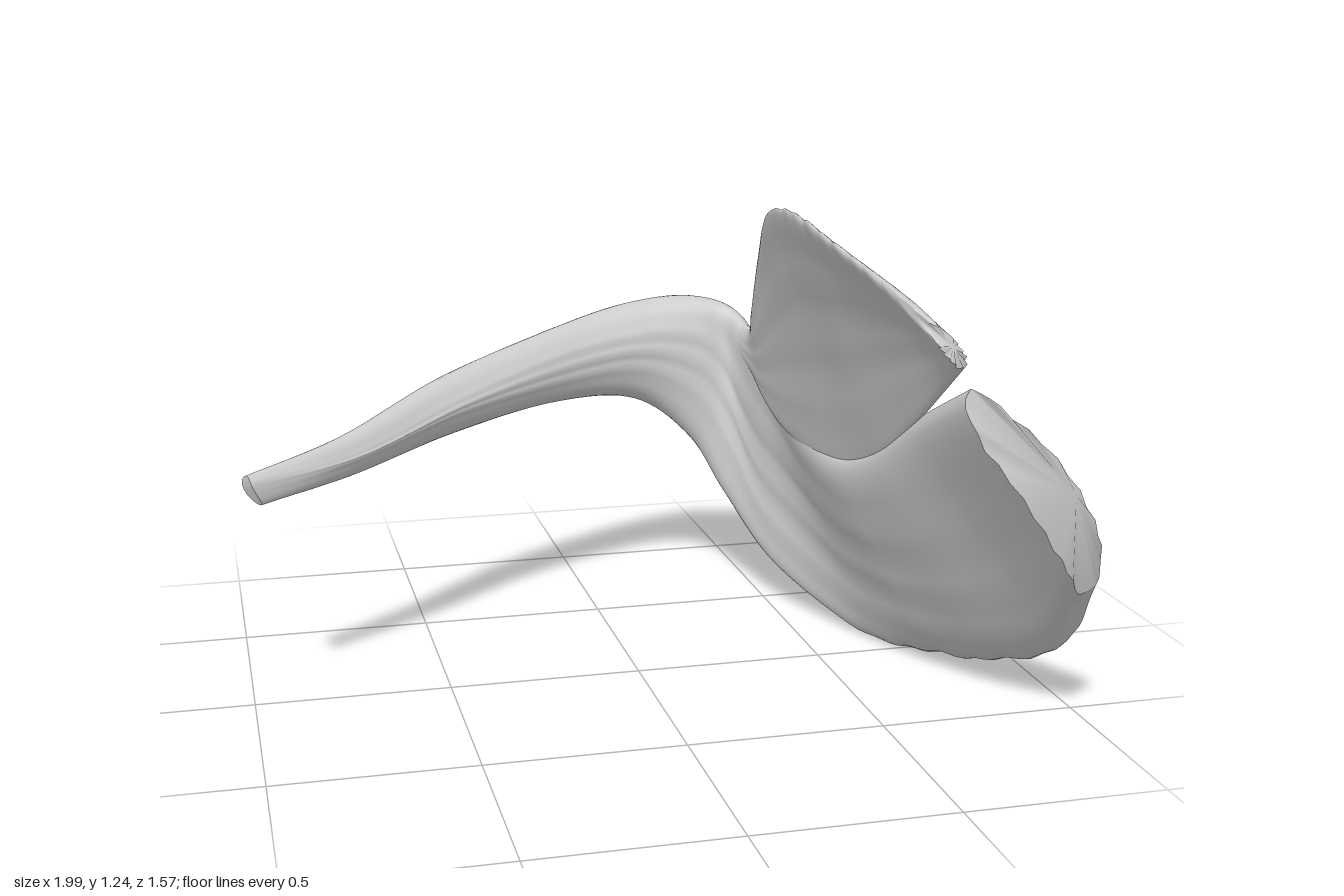
import * as THREE from 'three';

const material = new THREE.MeshStandardMaterial({ color: 0xcccccc, side: THREE.DoubleSide });

// Each station: lower edge xyz, middle xyz, upper edge xyz, thickness.
const STEM_TO_LOWER_LOBE = [
  [-0.96, 0.545, 0.02, -0.99, 0.59, 0.02, -0.99, 0.62, 0.02, 0.04],
  [-0.72, 0.565, -0.14, -0.73, 0.61, -0.16, -0.72, 0.66, -0.15, 0.09],
  [-0.42, 0.60, -0.38, -0.43, 0.67, -0.41, -0.42, 0.745, -0.40, 0.13],
  [-0.1, 0.62, -0.58, -0.1, 0.72, -0.61, -0.1, 0.82, -0.60, 0.15],
  [0.15, 0.60, -0.66, 0.15, 0.74, -0.70, 0.15, 0.87, -0.68, 0.18],
  [0.31, 0.48, -0.65, 0.35, 0.70, -0.70, 0.32, 0.885, -0.68, 0.17],
  [0.40, 0.32, -0.58, 0.46, 0.60, -0.63, 0.43, 0.85, -0.63, 0.13],
  [0.51, 0.14, -0.42, 0.53, 0.42, -0.46, 0.47, 0.73, -0.46, 0.10],
  [0.68, 0.02, -0.13, 0.635, 0.31, -0.20, 0.50, 0.62, -0.25, 0.07],
  [0.81, 0.04, 0.10, 0.72, 0.32, 0.07, 0.54, 0.59, 0.02, 0.05],
  [0.91, 0.09, 0.30, 0.785, 0.37, 0.30, 0.57, 0.65, 0.22, 0.045],
  [0.985, 0.19, 0.49, 0.85, 0.48, 0.53, 0.59, 0.78, 0.44, 0.04],
  [0.96, 0.40, 0.67, 0.845, 0.66, 0.77, 0.60, 0.91, 0.71, 0.03],
];
const UPPER_LOBE = [
  [0.45, 0.72, -0.61, 0.455, 0.77, -0.61, 0.45, 0.82, -0.61, 0.05],
  [0.46, 0.69, -0.50, 0.465, 0.75, -0.51, 0.46, 0.82, -0.52, 0.05],
  [0.47, 0.62, -0.38, 0.46, 0.76, -0.37, 0.42, 0.90, -0.39, 0.05],
  [0.49, 0.57, -0.24, 0.455, 0.83, -0.20, 0.38, 1.08, -0.21, 0.05],
  [0.535, 0.54, 0.00, 0.455, 0.90, 0.00, 0.335, 1.22, 0.00, 0.045],
  [0.57, 0.60, 0.20, 0.475, 0.95, 0.22, 0.335, 1.25, 0.20, 0.04],
  [0.585, 0.74, 0.40, 0.505, 1.0, 0.42, 0.36, 1.21, 0.42, 0.035],
  [0.60, 0.87, 0.56, 0.54, 1.02, 0.57, 0.43, 1.14, 0.56, 0.03],
  [0.60, 0.95, 0.67, 0.57, 1.0, 0.67, 0.52, 1.05, 0.64, 0.025],
];

// Lofts a closed section through the stations. rimV is the frayed edge,
// innerPad thickens the inner side of the blade into a blunt wall.
function loft(name, stations, { rimV, rimStart, foldSize, innerPad }) {
  const curve = (pick) => new THREE.CatmullRomCurve3(
    stations.map((s) => new THREE.Vector3(...pick(s))), false, 'catmullrom', 0.5);
  const low = curve((s) => s.slice(0, 3));
  const mid = curve((s) => s.slice(3, 6));
  const high = curve((s) => s.slice(6, 9));
  const thick = curve((s) => [s[9], 0, 0]);

  // Point on the middle sheet: a parabola across the three guide curves.
  const sheet = (u, v) => {
    u = THREE.MathUtils.clamp(u, 0, 1);
    const p = low.getPoint(u).multiplyScalar((1 - v) * (1 - 2 * v));
    p.addScaledVector(mid.getPoint(u), 4 * v * (1 - v));
    return p.addScaledVector(high.getPoint(u), v * (2 * v - 1));
  };

  const N = 110, R = 40, pos = [], index = [];
  for (let i = 0; i <= N; i++) {
    const u = i / N, t = thick.getPoint(u).x;
    const blade = THREE.MathUtils.smoothstep(u, rimStart, rimStart + 0.17);
    for (let j = 0; j < R; j++) {
      const a = (j / R) * Math.PI * 2, v = (1 - Math.cos(a)) / 2;
      const p = sheet(u, v), e = 0.004;
      const du = sheet(u + e, v).sub(sheet(u - e, v));
      const dv = sheet(u, v + e).sub(sheet(u, v - e));
      const n = du.clone().cross(dv).normalize();
      // long folds running with the strap, fading at both edges and ends
      const fold = foldSize * Math.sin(v * 26 + u * 3) * Math.sin(Math.PI * v) * Math.sin(Math.PI * u);
      // frayed rim along the free edge and the front end
      const rim = Math.pow(1 - Math.abs(v - rimV), 16) * blade;
      const fray = Math.sin(u * 150) + 0.6 * Math.sin(u * 83 + 1);
      const inner = Math.max(0, Math.sin(a));
      const end = THREE.MathUtils.smoothstep(u, 0.93, 1);
      p.addScaledVector(n, Math.sin(a) * t / 2 + fold + innerPad * blade * Math.pow(inner, 0.7));
      p.addScaledVector(dv.normalize(), rim * 0.005 * fray);
      const ragged = 0.008 * (Math.sin(v * 42) + 0.5 * Math.sin(v * 71));
      p.addScaledVector(du.normalize(), end * (ragged - 0.6 * innerPad * inner));
      pos.push(p.x, p.y, p.z);
      if (i < N) {
        const k = (j + 1) % R, b = i * R;
        index.push(b + j, b + R + j, b + k, b + k, b + R + j, b + R + k);
      }
    }
  }
  // end caps, with their own rim so the edge stays sharp
  for (const i of [0, N]) {
    const c = pos.length / 3, p = sheet(i / N, 0.5);
    const ring = pos.slice(i * R * 3, (i + 1) * R * 3);
    pos.push(p.x, p.y, p.z, ...ring);
    for (let j = 0; j < R; j++) {
      const a = c + 1 + j, b = c + 1 + (j + 1) % R;
      if (i === 0) index.push(c, a, b);
      else index.push(c, b, a);
    }
  }
  const geometry = new THREE.BufferGeometry();
  geometry.setAttribute('position', new THREE.Float32BufferAttribute(pos, 3));
  geometry.setIndex(index);
  geometry.computeVertexNormals();
  const mesh = new THREE.Mesh(geometry, material);
  mesh.name = name;
  return mesh;
}

export function createModel() {
  const group = new THREE.Group();
  group.name = 'curledPetal';
  group.add(
    loft('stemAndLowerLobe', STEM_TO_LOWER_LOBE, { rimV: 0, rimStart: 0.6, foldSize: 0.005, innerPad: 0.085 }),
    loft('upperLobe', UPPER_LOBE, { rimV: 1, rimStart: 0.5, foldSize: 0.003, innerPad: 0.012 }),
  );
  return group;
}
